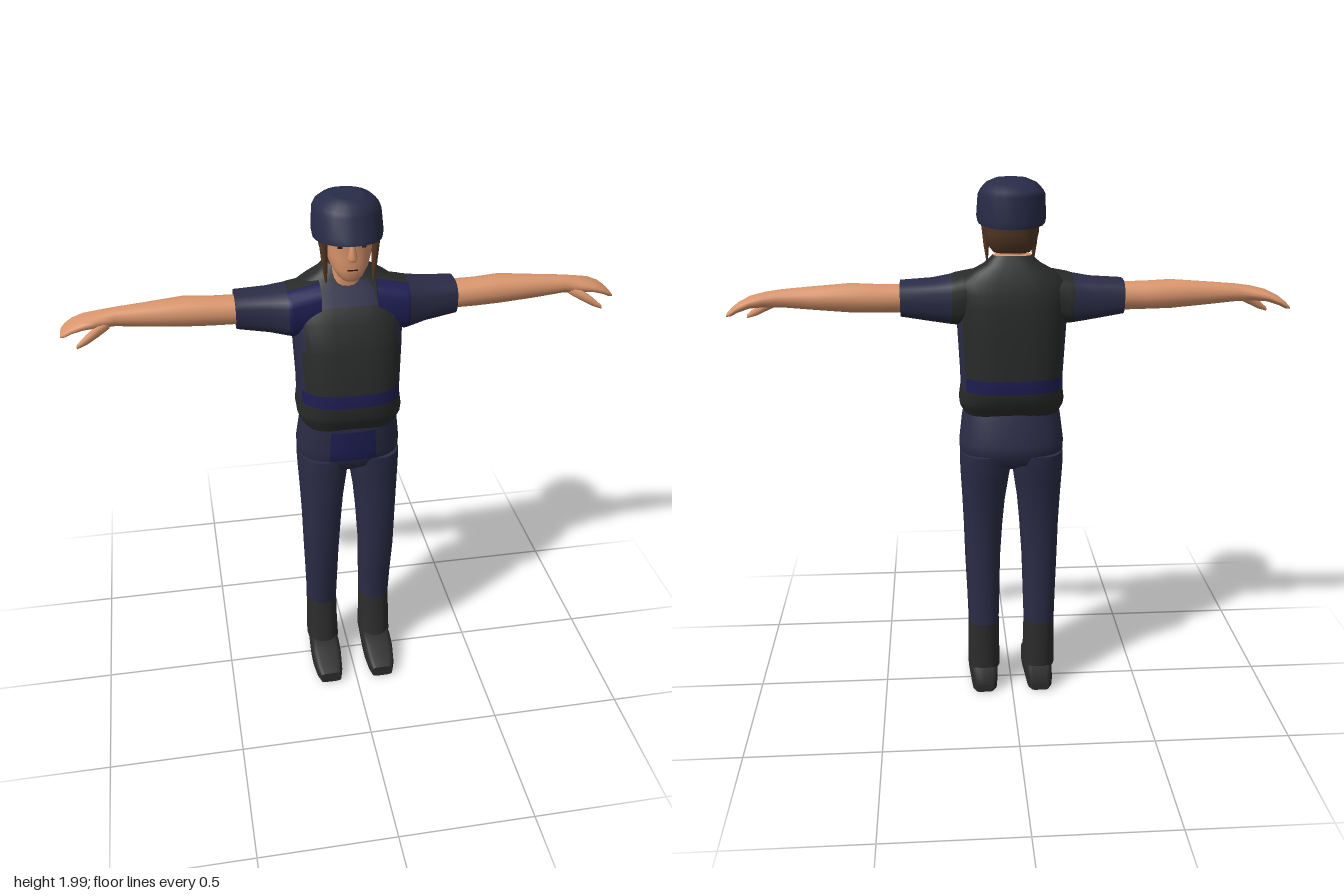
import * as THREE from 'three';

const mat = (name, color) => {
  const m = new THREE.MeshStandardMaterial({ color });
  m.name = name;
  return m;
};
const skin = mat('skin', 0xd9956c), hair = mat('hair', 0x543824), navy = mat('navy cloth', 0x2b2c46),
  helmetBlue = mat('helmet blue', 0x282c48), black = mat('vest black', 0x292a2a),
  boot = mat('boot black', 0x2c2c2c), trim = mat('blue trim', 0x1e1e54), dark = mat('eye dark', 0x2a1a14);

// Loft of superellipse rings along an axis (0 x, 1 y, 2 z).
// Ring: [t, min, max, min, max]; bounds are x,z for axis y; z,y for axis x; y,x for axis z.
function loft(name, axis, rings, pick, { seg = 20, p = 2.4, warp } = {}) {
  const pos = [], faces = new Map();
  const A = (axis + 2) % 3, B = (axis + 1) % 3;
  const add = (t, a, b) => {
    const v = [0, 0, 0];
    v[axis] = t; v[A] = a; v[B] = b;
    if (warp) warp(v);
    pos.push(...v);
    return pos.length / 3 - 1;
  };
  const bend = (c) => Math.sign(c) * Math.abs(c) ** (2 / p);
  const addRing = ([t, a0, a1, b0, b1]) => Array.from({ length: seg }, (_, j) => {
    const th = (j / seg) * Math.PI * 2;
    return add(t, (a0 + a1) / 2 + ((a1 - a0) / 2) * bend(Math.cos(th)), (b0 + b1) / 2 + ((b1 - b0) / 2) * bend(Math.sin(th)));
  });
  const face = (...ids) => {
    const c = [0, 1, 2].map((k) => ids.reduce((s, i) => s + pos[i * 3 + k], 0) / ids.length);
    const m = typeof pick === 'function' ? pick(...c) : pick;
    if (!faces.has(m)) faces.set(m, []);
    for (let i = 1; i < ids.length - 1; i++) faces.get(m).push(ids[0], ids[i], ids[i + 1]);
  };
  const rows = rings.map(addRing);
  for (let i = 0; i < rows.length - 1; i++)
    for (let j = 0; j < seg; j++) {
      const k = (j + 1) % seg;
      face(rows[i][j], rows[i + 1][j], rows[i + 1][k], rows[i][k]);
    }
  // End caps keep their own vertices for a sharp rim
  for (const [r, last] of [[rings[0], false], [rings[rings.length - 1], true]]) {
    const cap = addRing(r), mid = add(r[0], (r[1] + r[2]) / 2, (r[3] + r[4]) / 2);
    for (let j = 0; j < seg; j++) {
      const k = (j + 1) % seg;
      if (last) face(mid, cap[k], cap[j]); else face(mid, cap[j], cap[k]);
    }
  }
  const g = new THREE.BufferGeometry(), index = [], mats = [];
  for (const [m, ids] of faces) {
    g.addGroup(index.length, ids.length, mats.length);
    mats.push(m);
    for (const i of ids) index.push(i);
  }
  g.setAttribute('position', new THREE.Float32BufferAttribute(pos, 3));
  g.setIndex(index);
  g.computeVertexNormals();
  const mesh = new THREE.Mesh(g, mats.length > 1 ? mats : mats[0]);
  mesh.name = name;
  return mesh;
}

// Mirrored copy across x with corrected winding
function mirror(mesh) {
  const g = mesh.geometry.clone().scale(-1, 1, 1), ix = g.index;
  for (let i = 0; i < ix.count; i += 3) {
    const b = ix.getX(i + 1);
    ix.setX(i + 1, ix.getX(i + 2));
    ix.setX(i + 2, b);
  }
  const m = new THREE.Mesh(g, mesh.material);
  m.name = mesh.name.replace('left', 'right');
  return m;
}

function plate(name, m, w, h, d, x, y, z) {
  const mesh = new THREE.Mesh(new THREE.BoxGeometry(w, h, d).translate(x, y, z), m);
  mesh.name = name;
  return mesh;
}

export function createModel() {
  const model = new THREE.Group();
  model.name = 'officer';
  const both = (m) => model.add(m, mirror(m));

  // Torso: vest front and back, shirt sides, blue waist band, collar patch
  model.add(loft('torso', 1, [
    [1.13, -0.165, 0.165, -0.13, 0.10],
    [1.175, -0.19, 0.19, -0.155, 0.12],
    [1.20, -0.193, 0.193, -0.18, 0.13],
    [1.245, -0.187, 0.187, -0.188, 0.132],
    [1.295, -0.187, 0.187, -0.19, 0.13],
    [1.45, -0.195, 0.195, -0.19, 0.11],
    [1.55, -0.2, 0.2, -0.186, 0.075],
    [1.60, -0.2, 0.2, -0.178, 0.04],
    [1.64, -0.195, 0.195, -0.168, 0.005],
    [1.675, -0.145, 0.145, -0.155, -0.02],
    [1.70, -0.10, 0.10, -0.145, -0.035],
    [1.73, -0.068, 0.068, -0.13, -0.05],
  ], (x, y, z) => {
    if (y > 1.725) return skin;
    if (y < 1.245) return black;
    if (y < 1.6 && Math.abs(x) > 0.14 && z > -0.13 && z < 0.055) return navy;
    if (y < 1.295) return trim;
    if (y > 1.6 && y < 1.68 && z > -0.05 && Math.abs(x) < 0.085) return navy;
    return black;
  }, { seg: 36, p: 2.9 }));

  // Short sleeves
  both(loft('left sleeve', 0, [
    [0.10, -0.15, 0.04, 1.50, 1.68],
    [0.20, -0.155, 0.05, 1.482, 1.66],
    [0.215, -0.155, 0.045, 1.484, 1.655],
    [0.28, -0.148, 0.02, 1.495, 1.645],
    [0.395, -0.145, 0.01, 1.515, 1.638],
  ], (x, y, z) => (x < 0.21 ? (z > 0 ? trim : black) : navy), { p: 2.8 }));

  // Bare arms and hands
  both(loft('left arm', 0, [
    [0.36, -0.125, -0.01, 1.525, 1.625],
    [0.48, -0.125, -0.01, 1.527, 1.627],
    [0.57, -0.132, -0.01, 1.53, 1.632],
    [0.70, -0.115, -0.02, 1.54, 1.622],
    [0.81, -0.104, -0.03, 1.55, 1.613],
    [0.87, -0.112, -0.018, 1.552, 1.603],
    [0.92, -0.125, -0.012, 1.55, 1.59],
    [0.96, -0.132, -0.018, 1.538, 1.571],
    [0.985, -0.132, -0.025, 1.526, 1.552],
    [1.0, -0.115, -0.04, 1.524, 1.536],
  ], skin, { seg: 16, p: 2.2 }));
  both(loft('left thumb', 0, [
    [0.83, -0.06, -0.03, 1.55, 1.585],
    [0.87, -0.045, -0.008, 1.53, 1.57],
    [0.91, -0.03, 0.002, 1.51, 1.543],
    [0.945, -0.012, 0.004, 1.499, 1.513],
  ], skin, { seg: 10 }));

  // Hips with blue front panel
  model.add(loft('hips', 1, [
    [0.93, -0.10, 0.10, -0.09, 0.04],
    [0.965, -0.18, 0.18, -0.155, 0.085],
    [1.005, -0.193, 0.193, -0.172, 0.10],
    [1.04, -0.194, 0.194, -0.174, 0.104],
    [1.13, -0.183, 0.183, -0.152, 0.108],
    [1.17, -0.175, 0.175, -0.14, 0.105],
  ], (x, y, z) => (y > 1.005 && y < 1.13 && z > 0 && Math.abs(x) < 0.08 ? trim : navy), { seg: 32 }));

  // Trouser legs, boot shafts and shoes
  both(loft('left trouser leg', 1, [
    [0.27, 0.05, 0.168, -0.11, 0.038],
    [0.40, 0.046, 0.172, -0.11, 0.055],
    [0.55, 0.042, 0.178, -0.107, 0.08],
    [0.70, 0.032, 0.182, -0.115, 0.087],
    [0.80, 0.023, 0.186, -0.13, 0.09],
    [0.90, 0.008, 0.191, -0.15, 0.093],
    [0.95, 0.0, 0.193, -0.163, 0.096],
    [1.00, 0.0, 0.192, -0.168, 0.096],
  ], navy));
  both(loft('left boot shaft', 1, [
    [0.09, 0.045, 0.172, -0.108, 0.067],
    [0.18, 0.048, 0.17, -0.109, 0.052],
    [0.29, 0.049, 0.169, -0.111, 0.04],
  ], boot));
  both(loft('left shoe', 2, [
    [-0.12, 0, 0.03, 0.075, 0.145],
    [-0.108, 0, 0.1, 0.06, 0.158],
    [0.04, 0, 0.112, 0.05, 0.168],
    [0.10, 0, 0.09, 0.05, 0.168],
    [0.165, 0, 0.063, 0.056, 0.16],
    [0.198, 0, 0.045, 0.065, 0.148],
  ], boot, { p: 4.5 }));

  // Neck, face and nose
  model.add(loft('neck', 1, [
    [1.64, -0.06, 0.06, -0.12, -0.01],
    [1.70, -0.052, 0.052, -0.11, -0.005],
    [1.78, -0.05, 0.05, -0.10, 0.0],
  ], skin));
  model.add(loft('face', 1, [
    [1.705, -0.028, 0.028, 0.0, 0.062],
    [1.72, -0.045, 0.045, -0.03, 0.075],
    [1.75, -0.065, 0.065, -0.07, 0.08],
    [1.79, -0.078, 0.078, -0.10, 0.078],
    [1.83, -0.085, 0.085, -0.11, 0.076],
    [1.87, -0.088, 0.088, -0.11, 0.08],
  ], skin, { p: 2.3 }));
  model.add(loft('nose', 1, [
    [1.782, -0.014, 0.014, 0.06, 0.084],
    [1.797, -0.017, 0.017, 0.055, 0.102],
    [1.845, -0.007, 0.007, 0.055, 0.082],
  ], skin, { seg: 8 }));
  model.add(plate('mouth', dark, 0.036, 0.004, 0.006, 0, 1.752, 0.078));
  both(plate('left eye', dark, 0.026, 0.007, 0.008, 0.036, 1.832, 0.067));

  // Hair with side locks
  model.add(loft('hair', 1, [
    [1.735, -0.065, 0.065, -0.105, -0.005],
    [1.76, -0.085, 0.085, -0.128, 0.01],
    [1.80, -0.095, 0.095, -0.14, 0.018],
    [1.86, -0.10, 0.10, -0.145, 0.025],
  ], hair));
  both(loft('left hair lock', 1, [
    [1.69, 0.080, 0.086, 0.016, 0.026],
    [1.75, 0.076, 0.096, 0.005, 0.035],
    [1.86, 0.076, 0.108, -0.01, 0.045],
  ], hair, { seg: 8 }));

  // Helmet: flared rim, banded side, low dome
  model.add(loft('helmet', 1, [
    [1.842, -0.119, 0.119, -0.182, 0.122],
    [1.862, -0.123, 0.123, -0.186, 0.118],
    [1.935, -0.118, 0.118, -0.184, 0.09],
    [1.95, -0.11, 0.11, -0.176, 0.084],
    [1.972, -0.088, 0.088, -0.14, 0.07],
    [1.985, -0.055, 0.055, -0.085, 0.04],
  ], helmetBlue, {
    seg: 24, p: 2.15,
    warp: (v) => { v[1] += 0.09 * v[2] * Math.max(0, (1.95 - v[1]) / 0.108); },
  }));
  return model;
}
